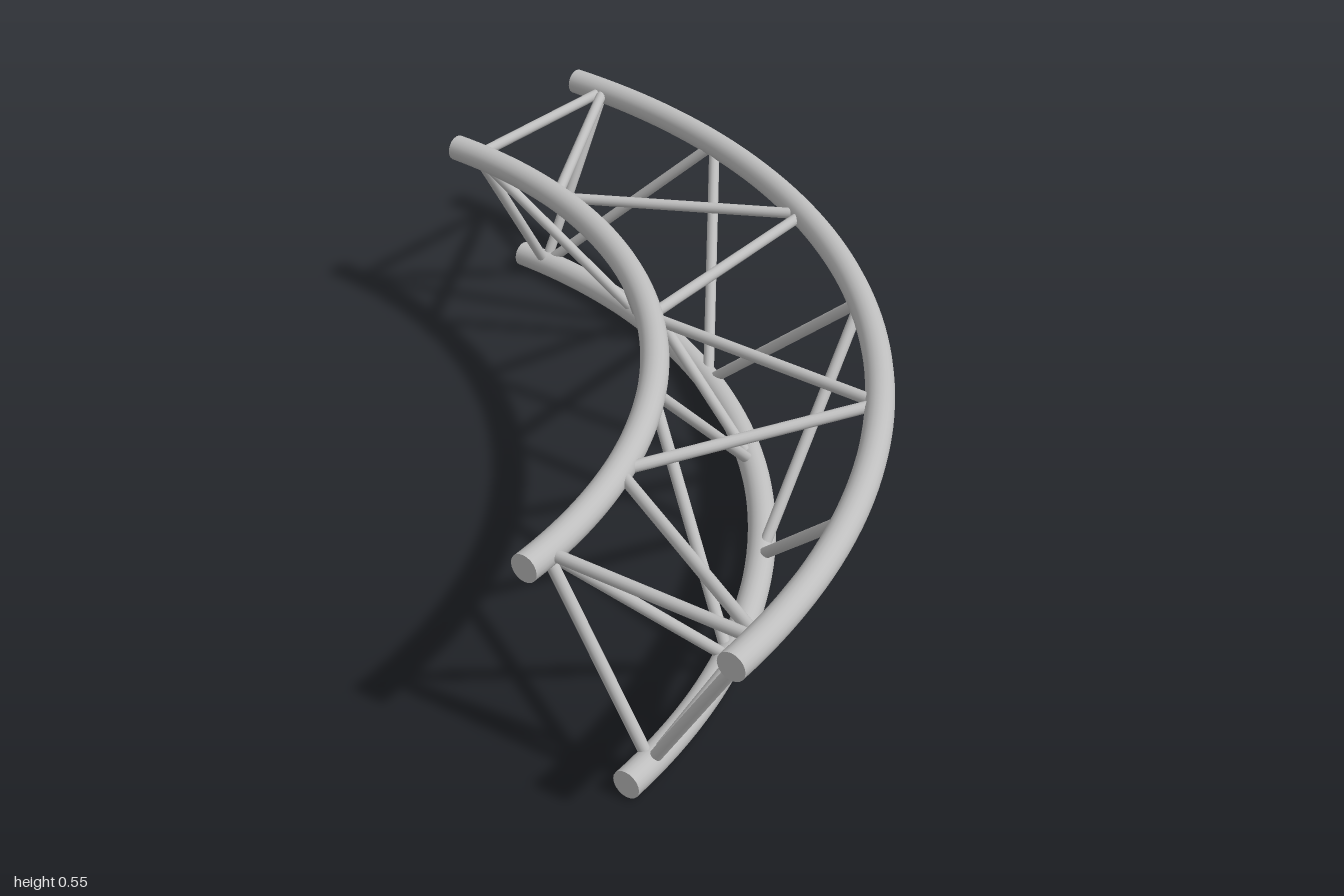
import * as THREE from 'three';

// Quarter-circle triangular truss: three curved chords joined by zigzag braces.
export function createModel() {
  const model = new THREE.Group();
  model.name = 'curvedTruss';
  const metal = new THREE.MeshStandardMaterial({ color: 0xbebebe });
  metal.name = 'grey metal';

  const CHORD_RADIUS = 0.036, BRACE_RADIUS = 0.015;
  const chords = {
    outer: { r: 1.963, y: 0.511 },
    inner: { r: 1.415, y: 0.511 },
    bottom: { r: 1.69, y: 0.038 },
  };

  function add(parent, name, geometry) {
    const mesh = new THREE.Mesh(geometry, metal);
    mesh.name = name;
    parent.add(mesh);
    return mesh;
  }

  // Chords: quarter tori about the corner (-1, 1), with flat end caps
  for (const [name, { r, y }] of Object.entries(chords)) {
    const chord = new THREE.Group();
    chord.name = name + 'Chord';
    chord.position.set(-1, y, 1);
    add(chord, name + 'Tube', new THREE.TorusGeometry(r, CHORD_RADIUS, 20, 64, Math.PI / 2).rotateX(-Math.PI / 2));
    const cap = new THREE.CircleGeometry(CHORD_RADIUS, 20);
    add(chord, name + 'FrontCap', cap).position.set(r, 0, 0);
    add(chord, name + 'SideCap', cap.clone().rotateY(-Math.PI / 2)).position.set(0, 0, -r);
    model.add(chord);
  }

  // Point on a chord's centre line, in degrees from its side end
  function node(chord, degrees) {
    const { r, y } = chords[chord];
    const a = THREE.MathUtils.degToRad(degrees);
    return new THREE.Vector3(-1 + r * Math.sin(a), y, 1 - r * Math.cos(a));
  }

  // Straight round bar between two nodes
  const up = new THREE.Vector3(0, 1, 0);
  function brace(parent, name, a, b) {
    const dir = b.clone().sub(a);
    const bar = add(parent, name, new THREE.CylinderGeometry(BRACE_RADIUS, BRACE_RADIUS, dir.length(), 14, 1, true));
    bar.position.copy(a).lerp(b, 0.5);
    bar.quaternion.setFromUnitVectors(up, dir.normalize());
  }

  // Each face: a zigzag over seven nodes, plus a straight bar at both ends
  const FIRST = 3.1, LAST = 86.9, BAYS = 6;
  const step = (LAST - FIRST) / BAYS;
  const faces = [
    ['topBraces', 'outer', 'inner'],
    ['outerBraces', 'bottom', 'outer'],
    ['innerBraces', 'inner', 'bottom'],
  ];
  for (const [name, even, odd] of faces) {
    const face = new THREE.Group();
    face.name = name;
    for (let i = 0; i < BAYS; i++) {
      const [from, to] = i % 2 ? [odd, even] : [even, odd];
      brace(face, 'diagonalBrace', node(from, FIRST + i * step), node(to, FIRST + (i + 1) * step));
    }
    for (const end of [FIRST, LAST]) brace(face, 'endBrace', node(even, end), node(odd, end));
    model.add(face);
  }

  return model;
}
